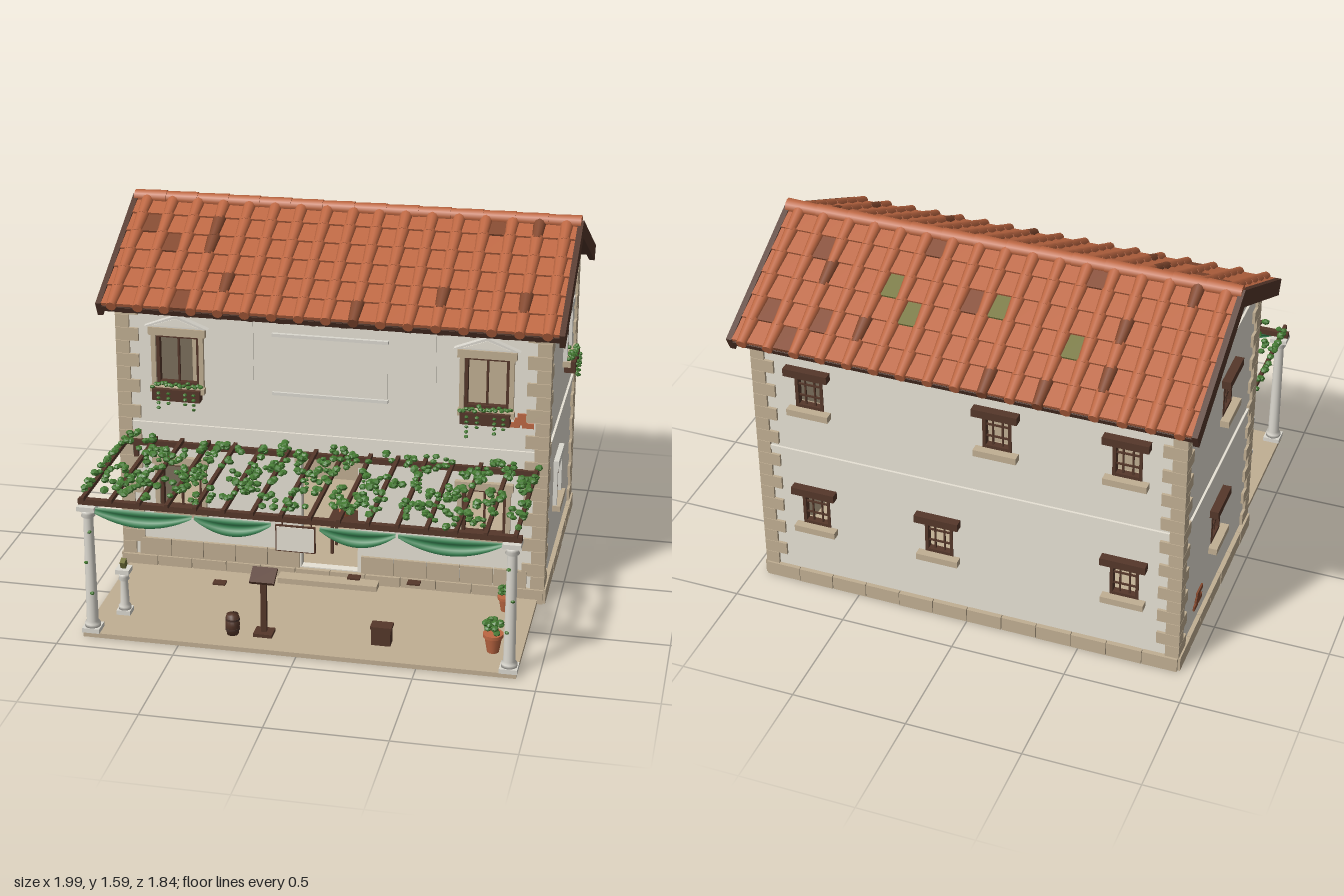
import * as THREE from 'three';
import { mergeGeometries } from 'three/addons/utils/BufferGeometryUtils.js';

const mat = (name, color, side = THREE.FrontSide) => {
  const m = new THREE.MeshStandardMaterial({ color, side });
  m.name = name;
  return m;
};
const M = {
  stucco: mat('stucco', 0xe8e3d6), stone: mat('tan stone', 0xc1af93),
  wood: mat('dark wood', 0x55372a), tile: mat('terracotta', 0xbd6742),
  darkTile: mat('dark terracotta', 0x84492f), moss: mat('moss', 0x76763c),
  leaf: mat('leaf', 0x447a32), cloth: mat('green cloth', 0x34804f, THREE.DoubleSide),
  marble: mat('pale marble', 0xdcd9d0), under: mat('dark underside', 0x46312a),
};

let seed = 7;
const rnd = () => (seed = (seed * 16807) % 2147483647) / 2147483647;

function add(parent, name, geo, material, x = 0, y = 0, z = 0) {
  const m = new THREE.Mesh(geo, material);
  m.name = name;
  m.position.set(x, y, z);
  parent.add(m);
  return m;
}
const box = (p, name, material, w, h, d, x, y, z) =>
  add(p, name, new THREE.BoxGeometry(w, h, d), material, x, y, z);
const cyl = (p, name, material, rt, rb, h, x, y, z, n = 12) =>
  add(p, name, new THREE.CylinderGeometry(rt, rb, h, n), material, x, y, z);
function group(parent, name, x = 0, y = 0, z = 0) {
  const g = new THREE.Group();
  g.name = name;
  g.position.set(x, y, z);
  parent.add(g);
  return g;
}

// One small faceted leaf clump
function leaf(x, y, z, r) {
  const g = new THREE.IcosahedronGeometry(r, 0);
  g.scale(1, 0.7, 1).rotateY(rnd() * 6).rotateX(rnd() - 0.5);
  return g.translate(x, y, z);
}

// Outline with rectangular openings, extruded
function panel(pts, holes, depth) {
  const s = new THREE.Shape(pts.map(p => new THREE.Vector2(...p)));
  for (const { x, y, w, h } of holes) {
    const a = x - w / 2, b = x + w / 2, c = y - h / 2, d = y + h / 2;
    s.holes.push(new THREE.Path([[a, c], [a, d], [b, d], [b, c]].map(p => new THREE.Vector2(...p))));
  }
  return new THREE.ExtrudeGeometry(s, { depth, bevelEnabled: false });
}

function flowerBox(p, x, y, w) {
  const g = group(p, 'flowerBox', x, y, 0.03);
  box(g, 'planter', M.wood, w, 0.052, 0.05, 0, 0, 0);
  const ls = [];
  for (let i = 0; i < 18; i++) ls.push(leaf((i / 17 - 0.5) * w, 0.032 + rnd() * 0.012, (rnd() - 0.5) * 0.04, 0.012));
  for (const sx of [-0.36, -0.15, 0.2, 0.38])
    for (let k = 0; k < 2 + rnd() * 3; k++) ls.push(leaf(sx * w, 0.01 - k * 0.022, 0.03, 0.01));
  add(g, 'boxPlants', mergeGeometries(ls), M.leaf);
}

// Frame, bars, sill and lintel of one opening
function fitWindow(p, o) {
  const g = group(p, 'window', o.x, o.y, 0), { w, h } = o, rustic = o.style === 'rustic';
  for (const s of [-1, 1]) {
    box(g, 'frameSide', M.wood, 0.014, h, 0.03, s * (w / 2 - 0.007), 0, -0.012);
    box(g, 'frameRail', M.wood, w, 0.014, 0.03, 0, s * (h / 2 - 0.007), -0.012);
  }
  if (rustic) {
    for (const s of [-1, 1]) {
      box(g, 'upright', M.wood, 0.007, h, 0.007, s * w / 6, 0, -0.01);
      box(g, 'crossbar', M.wood, w, 0.007, 0.007, 0, s * h / 6, -0.01);
    }
    box(g, 'lintel', M.wood, w + 0.07, 0.035, 0.045, 0, h / 2 + 0.017, 0.015);
    box(g, 'sill', M.stone, w + 0.06, 0.03, 0.045, 0, -h / 2 - 0.015, 0.015);
    return;
  }
  box(g, 'mullion', M.wood, 0.009, h, 0.012, 0, 0, -0.015);
  const trim = M[o.style];
  for (const s of [-1, 1]) box(g, 'jamb', trim, 0.02, h, 0.02, s * (w / 2 + 0.01), 0, 0.008);
  box(g, 'lintel', trim, w + 0.06, 0.035, 0.026, 0, h / 2 + 0.017, 0.01);
  box(g, 'sill', M.stone, w + 0.05, 0.026, 0.04, 0, -h / 2 - 0.013, 0.015);
  if (o.pediment) {
    const t = panel([[-0.14, 0], [0.14, 0], [0, 0.055]], [], 0.03);
    add(g, 'pediment', t, M.marble, 0, h / 2 + 0.04, 0);
    add(g, 'pedimentField', panel([[-0.1, 0], [0.1, 0], [0, 0.036]], [], 0.004), M.stucco, 0, h / 2 + 0.047, 0.03);
  }
  if (o.flowers) flowerBox(p, o.x, o.y - h / 2 - 0.03, w + 0.02);
}

// A whole wall in its own frame: x along the wall, z outwards
function wall(root, name, x, z, turn, half, peak, openings) {
  const g = group(root, name, x, 0, z);
  g.rotation.y = turn;
  const outline = a => peak ? [[-a, 0.04], [a, 0.04], [a, 1.26], [0, 1.26 + a / 2], [-a, 1.26]]
    : [[-a, 0.04], [a, 0.04], [a, 1.26], [-a, 1.26]];
  add(g, 'stuccoWall', panel(outline(half), openings, 0.04), M.stucco, 0, 0, -0.04);
  add(g, 'innerLining', panel(outline(half - 0.045), openings, 0.01), M.stone, 0, 0, -0.05);
  box(g, 'stringCourse', M.stucco, half * 2 + 0.016, 0.022, 0.02, 0, 0.69, 0);
  if (peak) box(g, 'gableCourse', M.stucco, half * 2 + 0.016, 0.022, 0.02, 0, 1.272, 0);
  openings.filter(o => o.style).forEach(o => fitWindow(g, o));
  // plinth blocks
  const n = Math.round(half * 2 / 0.15), len = (half * 2 + 0.02) / n;
  for (let i = 0; i < n; i++)
    box(g, 'plinthBlock', M.stone, len - 0.003, 0.065, 0.05, (i + 0.5 - n / 2) * len, 0.0325, -0.007 + rnd() * 0.004);
  return g;
}

// One roof slope: local z runs down from the ridge
function slope(root, name, turn) {
  const g = group(root, name, 0, 1.55, -0.295), L = 0.67, rows = 6, pitch = L / rows, gap = 0.1156;
  g.rotation.set(Math.atan(0.5), turn, 0, 'YXZ');
  box(g, 'roofDeck', M.wood, 1.95, 0.03, L, 0, -0.017, L / 2);
  for (const s of [-1, 1]) box(g, 'bargeBoard', M.wood, 0.024, 0.07, L + 0.01, s * 0.983, -0.02, L / 2);
  box(g, 'fascia', M.wood, 1.95, 0.026, 0.015, 0, -0.018, L - 0.005);
  for (let i = 0; i < 14; i++) box(g, 'rafterTail', M.wood, 0.025, 0.03, 0.1, -0.88 + i * 0.1354, -0.043, L - 0.07);
  const lists = { tile: [], darkTile: [], moss: [] };
  const mossy = ['4.5,3', '7.5,2', '10.5,3', '11.5,2'];
  for (let r = 0; r < rows; r++) for (let c = -0.5; c <= 16.5; c += 0.5) {
    const cover = Number.isInteger(c), z = (r + 0.5) * pitch, edge = Math.abs(c - 8) > 8;
    const x = edge ? Math.sign(c - 8) * 0.952 : (c - 8) * gap;
    const geo = cover ? new THREE.CylinderGeometry(0.022, 0.03, pitch + 0.015, 10).rotateX(Math.PI / 2)
      : new THREE.BoxGeometry(edge ? 0.04 : 0.08, 0.014, pitch);
    geo.rotateX(-0.08).translate(x, cover ? 0.006 : 0.004, z + (cover ? 0.006 : 0));
    const key = turn && mossy.includes(`${16 - c},${r}`) ? 'moss' : rnd() < 0.05 ? 'darkTile' : 'tile';
    lists[key].push(geo);
  }
  for (const k in lists) if (lists[k].length) add(g, 'roofTiles', mergeGeometries(lists[k]), M[k]);
}

function column(p, name, x, z, h, r) {
  const g = group(p, name, x, 0.02, z);
  box(g, 'base', M.marble, r * 3, 0.02, r * 3, 0, 0.01, 0);
  const prof = [[0, 0.02], [1.35, 0.02], [1.35, 0.035], [1, 0.045], [0.82, h - 0.06], [1.2, h - 0.05], [1, h - 0.04], [1.4, h - 0.02], [0, h - 0.02]];
  add(g, 'shaft', new THREE.LatheGeometry(prof.map(([a, y]) => new THREE.Vector2(a * r, y)), 14), M.marble);
  box(g, 'capital', M.marble, r * 3, 0.02, r * 3, 0, h - 0.01, 0);
}

function pottedPlant(p, x, z, s) {
  const g = group(p, 'pottedPlant', x, 0.02, z);
  g.scale.setScalar(s);
  cyl(g, 'pot', M.tile, 0.036, 0.024, 0.07, 0, 0.035, 0);
  cyl(g, 'potRim', M.tile, 0.041, 0.041, 0.014, 0, 0.072, 0);
  const ls = [];
  for (let i = 0; i < 20; i++) ls.push(leaf((rnd() - 0.5) * 0.06, 0.085 + rnd() * 0.05, (rnd() - 0.5) * 0.06, 0.016));
  add(g, 'plant', mergeGeometries(ls), M.leaf);
}

// Hanging cloth sagging between two points
function swag(p, x0, x1) {
  const geo = new THREE.PlaneGeometry(1, 1, 16, 6), a = geo.attributes.position;
  for (let i = 0; i < a.count; i++) {
    const u = a.getX(i) * 2, v = 0.5 - a.getY(i), sag = 1 - u * u;
    a.setXYZ(i, u * (x1 - x0) / 2, -v * (0.012 + 0.06 * sag), Math.sin(v * Math.PI * 3) * 0.008 * sag + v * 0.012);
  }
  geo.computeVertexNormals();
  add(p, 'swag', geo, M.cloth, (x0 + x1) / 2, 0.592, 0.9);
}

export function createModel() {
  const root = new THREE.Group();
  root.name = 'courtyardHouse';
  const Z0 = -0.294, HX = 0.925, HZ = 0.513;

  // Walls
  const pair = (y, w, h, extra) => [-0.665, 0.668].map(x => ({ x, y, w, h, style: 'stone', ...extra }));
  const front = wall(root, 'frontWall', 0, Z0 + HZ, 0, HX, false, [
    ...pair(0.995, 0.19, 0.23, { pediment: true, flowers: true }), ...pair(0.405, 0.19, 0.215),
    { x: -0.005, y: 0.32, w: 0.25, h: 0.5 }]);
  const rustic = (x, y) => ({ x, y, w: 0.125, h: 0.165, style: 'rustic' });
  wall(root, 'backWall', 0, Z0 - HZ, Math.PI, HX, false, [
    rustic(-0.685, 1.01), rustic(0.14, 1.01), rustic(0.69, 1.01),
    rustic(-0.685, 0.405), rustic(-0.125, 0.405), rustic(0.69, 0.405)]);
  wall(root, 'rightWall', HX, Z0, Math.PI / 2, HZ, true, [
    { x: 0.126, y: 1.01, w: 0.16, h: 0.2, style: 'marble', flowers: true },
    { x: -0.095, y: 0.405, w: 0.15, h: 0.18, style: 'marble' }]);
  const left = wall(root, 'leftWall', -HX, Z0, -Math.PI / 2, HZ, true, [rustic(0.08, 1.01), rustic(0, 0.405)]);

  // Front wall ornament: panels, dado, doorstep and worn brick
  for (const s of [-1, 1]) {
    box(front, 'pilasterPanel', M.stucco, 0.12, 0.27, 0.008, s * 0.393, 1.065, 0.003);
    for (let i = 0; i < 5; i++)
      box(front, 'dadoBlock', M.stone, 0.142, 0.08, 0.02, s * (0.208 + i * 0.145), 0.107, 0.004);
  }
  box(front, 'centrePanel', M.stucco, 0.49, 0.26, 0.006, 0, 1.015, 0.002);
  for (const y of [0.88, 1.145]) box(front, 'panelMoulding', M.marble, 0.5, 0.014, 0.02, 0, y, 0.006);
  box(front, 'doorLintel', M.stone, 0.3, 0.03, 0.02, -0.005, 0.585, 0.008);
  box(root, 'doorStep', M.stone, 0.44, 0.045, 0.08, 0, 0.0225, 0.265);
  [[0, 0], [0.035, 0.02], [-0.03, -0.022], [0.03, -0.022], [0.01, 0.02], [-0.005, -0.01]].forEach(([x, y]) => {
    box(front, 'wornBrick', M.tile, 0.05, 0.022, 0.01, 0.815 + x, 0.84 + y, 0.003);
    box(left, 'wornBrick', M.darkTile, 0.05, 0.022, 0.01, -0.24 + x, 0.17 + y, 0.003);
  });

  // Corner quoins, long and short in turn
  for (const sx of [-1, 1]) for (const sz of [-1, 1]) for (let i = 0; i < 20; i++) {
    const w = i % 2 ? 0.1 : 0.06, d = i % 2 ? 0.06 : 0.1;
    box(root, 'quoin', M.stone, w, 0.057, d, sx * (HX + 0.012 - w / 2), 0.095 + i * 0.0592, Z0 + sz * (HZ + 0.012 - d / 2));
  }

  // Floors and interior table
  box(root, 'underside', M.under, 1.82, 0.02, 1.0, 0, 0.012, Z0);
  box(root, 'groundFloor', M.stone, 1.78, 0.03, 0.95, 0, 0.045, Z0);
  box(root, 'tableTop', M.wood, 0.17, 0.012, 0.12, 0.04, 0.225, 0);
  for (const sx of [-1, 1]) for (const sz of [-1, 1])
    box(root, 'tableLeg', M.wood, 0.012, 0.16, 0.012, 0.04 + sx * 0.07, 0.14, sz * 0.045);
  cyl(root, 'bowl', M.tile, 0.03, 0.018, 0.022, 0.02, 0.242, 0);

  // Roof
  slope(root, 'frontRoof', 0);
  slope(root, 'backRoof', Math.PI);
  for (let i = 0; i < 14; i++)
    cyl(root, 'ridgeTile', M.tile, 0.029, 0.033, 0.145, (i - 6.5) * 0.1405, 1.555, -0.295, 10).rotation.z = Math.PI / 2;

  // Terrace and pergola
  box(root, 'terrace', M.stone, 1.82, 0.02, 0.7, 0, 0.01, 0.565);
  const pergola = group(root, 'pergola');
  for (const s of [-1, 1]) {
    column(pergola, 'pergolaColumn', s * 0.877, 0.882, 0.575, 0.025);
    box(pergola, 'wallBracket', M.wood, 0.02, 0.06, 0.02, s * 0.86, 0.57, 0.235);
  }
  box(pergola, 'frontBeam', M.wood, 1.83, 0.025, 0.025, 0, 0.608, 0.882);
  box(pergola, 'wallBeam', M.wood, 1.8, 0.025, 0.02, 0, 0.608, 0.235);
  const leaves = [];
  for (let i = 0; i < 16; i++) {
    const x = -0.89 + i * 0.1187;
    box(pergola, 'pergolaRafter', M.wood, 0.016, 0.018, 0.69, x, 0.629, 0.573);
    for (let k = 0; k < 16; k++) {
      const cx = x + (rnd() - 0.5) * 0.11, cz = 0.25 + rnd() * 0.63, n = 1 + Math.floor(rnd() * 3.5);
      for (let j = 0; j < n; j++)
        leaves.push(leaf(Math.max(-0.9, Math.min(0.9, cx + (rnd() - 0.5) * 0.045)), 0.635 + rnd() * 0.03, cz + (rnd() - 0.5) * 0.045, 0.014 + rnd() * 0.007));
    }
    // trailing strands
    const sz = 0.3 + rnd() * 0.3;
    if (i % 2) for (let k = 0; k < 2 + rnd() * 3; k++) leaves.push(leaf(x, 0.615 - k * 0.018, sz, 0.01));
  }
  for (const s of [-1, 1]) for (let k = 0; k < 3; k++)
    leaves.push(leaf(s * (0.877 + (k % 2) * 0.02 - 0.01), 0.2 + k * 0.14, 0.905, 0.01));
  add(pergola, 'vineLeaves', mergeGeometries(leaves), M.leaf);
  [[-0.86, -0.43], [-0.42, -0.1], [0.1, 0.41], [0.42, 0.84]].forEach(([a, b]) => swag(pergola, a, b));
  box(pergola, 'signFrame', M.wood, 0.165, 0.115, 0.01, -0.005, 0.52, 0.88);
  box(pergola, 'signBoard', M.stucco, 0.155, 0.105, 0.016, -0.005, 0.52, 0.88);
  for (const s of [-1, 1]) box(pergola, 'signHanger', M.wood, 0.005, 0.03, 0.005, s * 0.06, 0.588, 0.88);

  // Terrace furnishings
  column(root, 'pedestal', -0.79, 0.705, 0.21, 0.02);
  const top = box(root, 'pedestalOrnament', M.moss, 0.022, 0.035, 0.03, -0.79, 0.25, 0.705);
  top.rotation.x = 0.4;
  const lectern = group(root, 'lectern', -0.165, 0.02, 0.78);
  box(lectern, 'lecternBase', M.wood, 0.08, 0.015, 0.07, 0, 0.008, 0);
  box(lectern, 'lecternPost', M.wood, 0.024, 0.25, 0.022, 0, 0.135, 0);
  box(lectern, 'lecternTop', M.wood, 0.105, 0.014, 0.08, 0, 0.27, 0).rotation.x = 0.5;
  const barrel = [[0, 0], [0.025, 0], [0.031, 0.045], [0.026, 0.09], [0, 0.09]].map(p => new THREE.Vector2(...p));
  add(root, 'barrel', new THREE.LatheGeometry(barrel, 12), M.wood, -0.295, 0.02, 0.8);
  for (const y of [0.045, 0.09]) cyl(root, 'barrelHoop', M.under, 0.031, 0.031, 0.008, -0.295, y, 0.8);
  box(root, 'crate', M.wood, 0.08, 0.075, 0.05, 0.33, 0.058, 0.76);
  box(root, 'crateLid', M.wood, 0.09, 0.012, 0.06, 0.33, 0.1, 0.76);
  [[-0.41, 0.565], [0.14, 0.4], [0.4, 0.4]].forEach(([x, z]) => box(root, 'thinTray', M.wood, 0.055, 0.007, 0.04, x, 0.13, z));
  pottedPlant(root, 0.79, 0.735, 1.05);
  pottedPlant(root, 0.79, 0.36, 0.85);
  return root;
}
